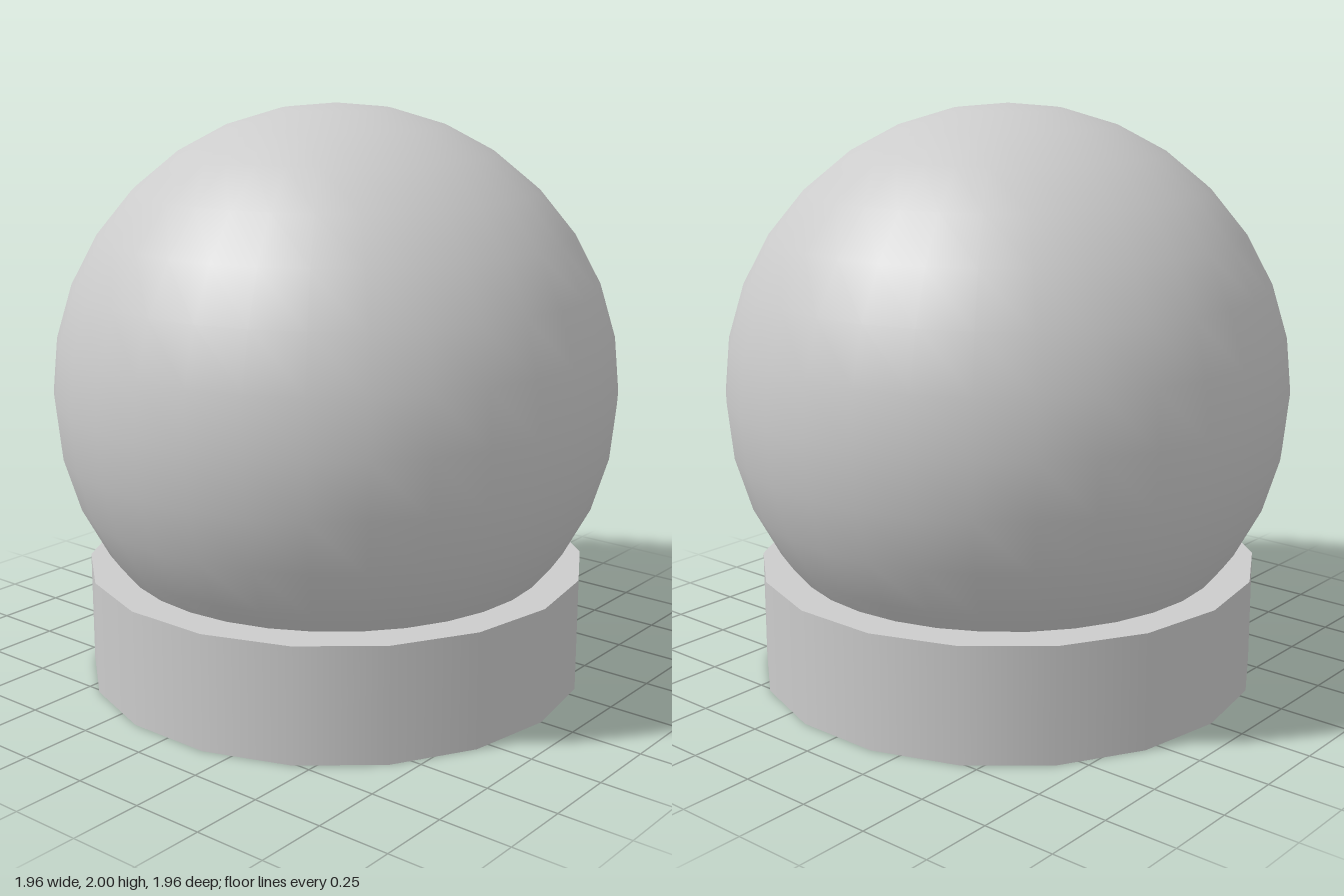
import * as THREE from 'three';

export function createModel() {
  const group = new THREE.Group();
  const material = new THREE.MeshStandardMaterial({ color: 0xcccccc });

  const add = (name, geometry, y) => {
    const mesh = new THREE.Mesh(geometry, material);
    mesh.name = name;
    mesh.position.y = y;
    group.add(mesh);
  };

  // Low round plinth, with corners on the x axis
  add('base', new THREE.CylinderGeometry(0.88, 0.88, 0.4, 18, 1, false, Math.PI / 2), 0.2);

  // Globe sunk into the plinth
  add('globe', new THREE.SphereGeometry(0.98, 32, 16), 1.02);

  return group;
}
